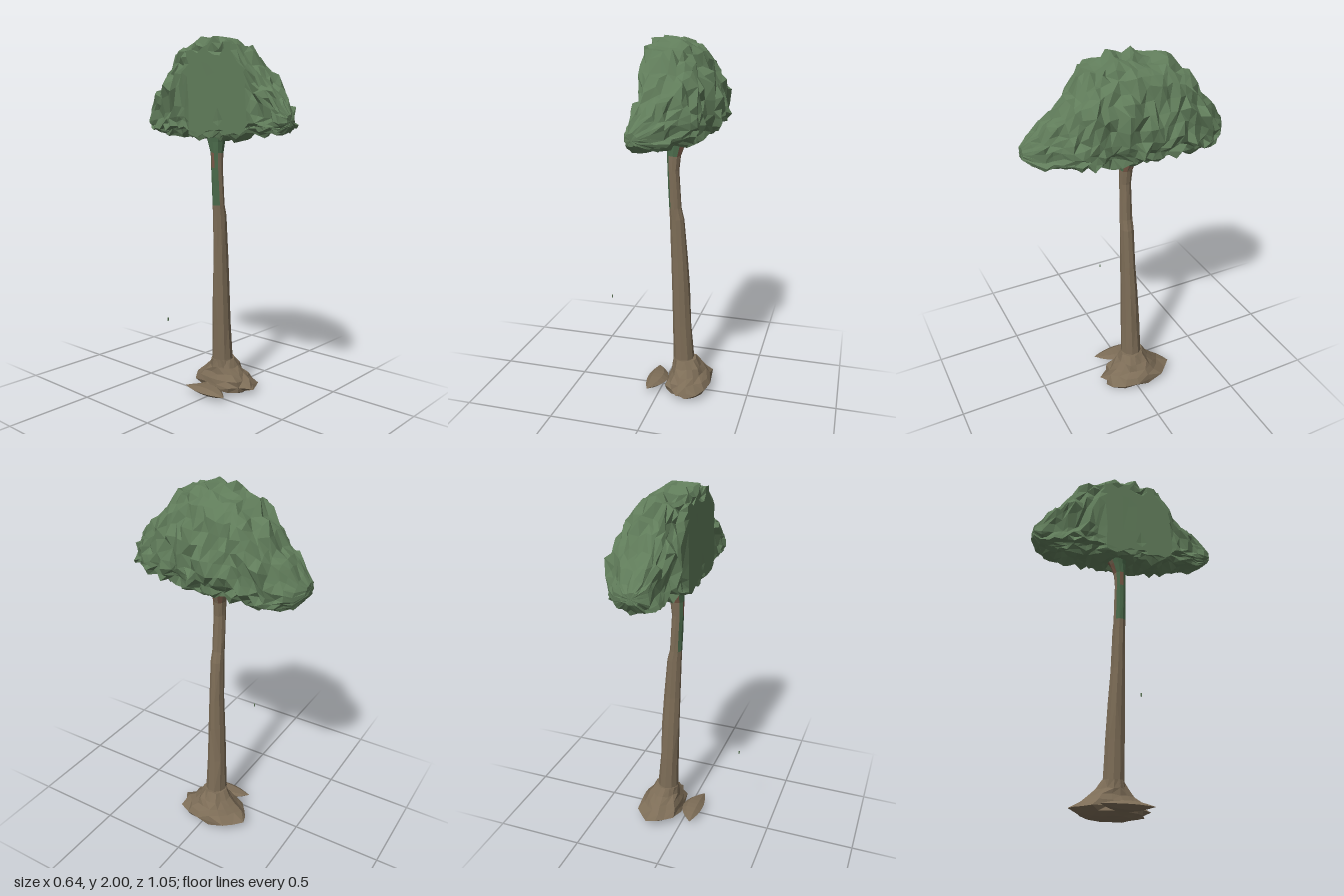
import * as THREE from 'three';

const leaf = new THREE.MeshStandardMaterial({ color: 0x607c5a });
leaf.name = 'leaf green';
const bark = new THREE.MeshStandardMaterial({ color: 0x7d6d57 });
bark.name = 'bark brown';
const moss = new THREE.MeshStandardMaterial({ color: 0x4c6c4c });
moss.name = 'moss green';
const rust = new THREE.MeshStandardMaterial({ color: 0x7a5a48 });
rust.name = 'reddish bark';

// Repeatable noise in -1..1 for a grid position
function noise(i, j, k) {
  const s = Math.sin(i * 127.1 + j * 311.7 + k * 74.7 + 3.3) * 43758.5453;
  return (s - Math.floor(s)) * 2 - 1;
}

// Linear interpolation through rows keyed by their first column
function sample(rows, t) {
  let k = 0;
  while (k < rows.length - 2 && t > rows[k + 1][0]) k++;
  const a = rows[k], b = rows[k + 1];
  const f = THREE.MathUtils.clamp((t - a[0]) / (b[0] - a[0]), 0, 1);
  return a.map((v, n) => v + (b[n] - v) * f);
}

// Faceted, capped loft: rings of n points; pick() gives each quad its material index
function loft(name, rings, materials, pick = () => 0) {
  const buckets = materials.map(() => []);
  const n = rings[0].length, last = rings.length - 1;
  const add = (m, ...pts) => pts.forEach(p => buckets[m].push(p.x, p.y, p.z));
  for (let j = 0; j < last; j++) {
    for (let i = 0; i < n; i++) {
      const h = (i + 1) % n, m = pick(i, j);
      const a = rings[j][i], b = rings[j][h], c = rings[j + 1][h], d = rings[j + 1][i];
      if (noise(i, j, 9) > 0) add(m, a, b, c, a, c, d);
      else add(m, a, b, d, b, c, d);
    }
  }
  const mid = r => r.reduce((s, p) => s.add(p), new THREE.Vector3()).divideScalar(n);
  const c0 = mid(rings[0]), c1 = mid(rings[last]);
  for (let i = 0; i < n; i++) {
    const h = (i + 1) % n;
    add(0, c0, rings[0][h], rings[0][i]);
    add(0, c1, rings[last][i], rings[last][h]);
  }
  const geo = new THREE.BufferGeometry();
  let start = 0;
  buckets.forEach((b, m) => {
    geo.addGroup(start, b.length / 3, m);
    start += b.length / 3;
  });
  geo.setAttribute('position', new THREE.Float32BufferAttribute(buckets.flat(), 3));
  geo.computeVertexNormals();
  const mesh = new THREE.Mesh(geo, materials);
  mesh.name = name;
  return mesh;
}

// Horizontal ring filling the box x0..x1, z0..z1, with optional roughness
function ring([y, x0, x1, z0, z1], n, j, rough = 0) {
  return Array.from({ length: n }, (_, i) => {
    const a = (i + 0.5) / n * Math.PI * 2, r = 1 + rough * noise(i, j, 1);
    return new THREE.Vector3(
      (x0 + x1) / 2 + (x1 - x0) / 2 * Math.cos(a) * r,
      Math.max(0, y + rough * 0.05 * noise(i, j, 2)),
      (z0 + z1) / 2 - (z1 - z0) / 2 * Math.sin(a) * r);
  });
}

// Half dome of foliage, sheared off flat on its -x side
function canopy() {
  // z, bottom, top, x min, x max
  const rows = [
    [-0.525, 1.55, 1.61, 0.05, 0.14],
    [-0.49, 1.50, 1.65, 0.02, 0.19],
    [-0.44, 1.475, 1.72, 0.00, 0.23],
    [-0.38, 1.47, 1.77, -0.015, 0.265],
    [-0.34, 1.475, 1.84, -0.025, 0.28],
    [-0.28, 1.48, 1.89, -0.03, 0.29],
    [-0.23, 1.48, 1.955, -0.035, 0.28],
    [-0.05, 1.46, 1.975, -0.05, 0.295],
    [0.06, 1.47, 1.975, -0.05, 0.295],
    [0.12, 1.47, 1.965, -0.05, 0.26],
    [0.20, 1.47, 1.945, -0.05, 0.255],
    [0.26, 1.49, 1.86, -0.05, 0.255],
    [0.35, 1.50, 1.765, -0.045, 0.235],
    [0.39, 1.50, 1.74, -0.04, 0.175],
    [0.46, 1.495, 1.66, -0.045, 0.14],
    [0.50, 1.505, 1.63, -0.048, 0.07],
    [0.525, 1.53, 1.59, -0.035, 0.03],
  ];
  const count = 30, n = 32, rings = [];
  for (let j = 0; j < count; j++) {
    const z = -0.525 + 1.05 * j / (count - 1);
    const [, bot, top, x0, x1] = sample(rows, z);
    const cx = x0 + (x1 - x0) * 0.36, cy = bot + (top - bot) * 0.32;
    const flat = z > -0.14 && z < 0.3;
    const rough = Math.min(1, (top - bot) * 3);
    const pts = [];
    for (let i = 0; i < n; i++) {
      const a = i / n * Math.PI * 2, c = Math.cos(a), s = Math.sin(a);
      const p = c < 0 ? (flat ? 0.45 : 0.65) : (s > 0 ? 1.02 : 0.85);
      const rx = c < 0 ? cx - x0 + (flat ? 0.03 : 0) : x1 - cx;
      const ry = s < 0 ? cy - bot : top - cy;
      // Broad clumps plus fine facets
      const bump = rough * (0.015 * Math.sin(i * 1.25 + j * 0.5) * Math.sin(j * 1.1 - i * 0.3)
        + 0.02 * noise(i, j, 4));
      const x = cx + Math.sign(c) * Math.abs(c) ** p * rx + c * bump + rough * 0.009 * noise(i, j, 5);
      const y = cy + Math.sign(s) * Math.abs(s) ** p * ry + s * bump + rough * 0.009 * noise(i, j, 6);
      pts.push(new THREE.Vector3(Math.max(flat ? -0.05 : -0.055, x), Math.min(2, y),
        z + rough * 0.012 * noise(i, j, 7)));
    }
    rings.push(pts);
  }
  return loft('canopy', rings, [leaf]);
}

export function createModel() {
  const tree = new THREE.Group();
  tree.name = 'tree';
  tree.add(canopy());

  // Leaning trunk, mossy on its upper -x side; rows are y, x0, x1, z0, z1
  const trunkRows = [
    [0.12, 0.055, 0.22, -0.10, 0.06],
    [0.19, 0.058, 0.178, -0.078, 0.04],
    [0.40, 0.054, 0.162, -0.07, 0.037],
    [0.62, 0.048, 0.15, -0.06, 0.034],
    [0.80, 0.044, 0.138, -0.048, 0.032],
    [1.03, 0.037, 0.118, -0.042, 0.03],
    [1.09, 0.033, 0.102, -0.04, 0.028],
    [1.20, 0.028, 0.094, -0.04, 0.026],
    [1.30, 0.022, 0.086, -0.04, 0.025],
    [1.38, 0.018, 0.096, -0.042, 0.024],
    [1.44, 0.012, 0.118, -0.062, 0.026],
    [1.52, 0.0, 0.15, -0.10, 0.04],
  ];
  const sides = 10;
  tree.add(loft('trunk', trunkRows.map((r, j) => ring(r, sides, j, 0.04)),
    [bark, moss, rust], (i, j) => {
      const a = (i + 1) / sides * Math.PI * 2;
      const back = Math.cos(a) < -0.5;
      if (j >= 9) return back || Math.sin(a) < -0.9 ? 1 : (i + j) % 2 * 2;
      if (!back || j < 6) return 0;
      return j === 8 && i % 2 === 0 ? 2 : 1;
    }));

  // Spreading root mound
  const rootRows = [
    [0.005, 0.06, 0.23, -0.15, 0.12],
    [0.022, 0.03, 0.265, -0.20, 0.16],
    [0.05, 0.022, 0.285, -0.24, 0.178],
    [0.08, 0.03, 0.26, -0.185, 0.14],
    [0.11, 0.045, 0.245, -0.15, 0.10],
    [0.145, 0.055, 0.225, -0.11, 0.07],
    [0.19, 0.06, 0.195, -0.085, 0.045],
  ];
  tree.add(loft('roots', rootRows.map((r, j) => ring(r, 16, j, 0.09)), [bark]));

  // Thin pointed crescent of root lying beside the mound
  const slabRings = [];
  for (let j = 0; j <= 8; j++) {
    const t = j / 4 - 1, w = Math.max(0.03, 1 - t * t);
    slabRings.push(Array.from({ length: 6 }, (_, i) => {
      const a = i / 6 * Math.PI * 2;
      return new THREE.Vector3(
        -0.031 - 0.028 * t * t + 0.061 * w * Math.cos(a),
        0.038 + 0.026 * w * Math.sin(a), 0.142 * t);
    }));
  }
  tree.add(loft('sideRoot', slabRings, [bark]));

  // Tiny drifting fleck
  const fleck = new THREE.Mesh(new THREE.BoxGeometry(0.005, 0.018, 0.005), leaf);
  fleck.name = 'fleck';
  fleck.position.set(-0.317, 0.515, -0.024);
  tree.add(fleck);

  return tree;
}
